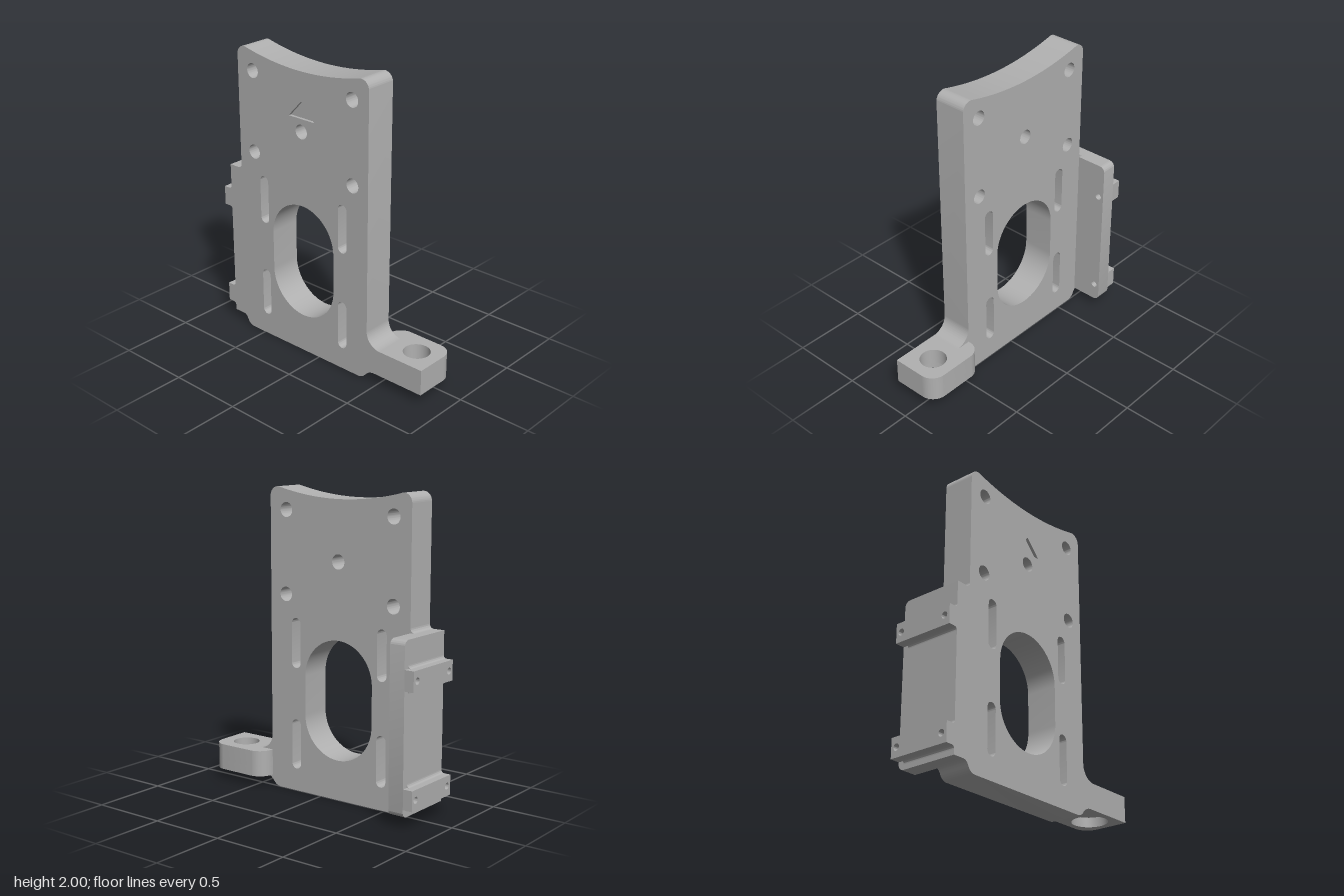
import * as THREE from 'three';
import { toCreasedNormals } from 'three/addons/utils/BufferGeometryUtils.js';

const FRONT = 0.215; // plate front face; its back face is z = 0

const circle = (x, y, r) => new THREE.Path().absarc(x, y, r, 0, Math.PI * 2, true);

// Vertical slot with round ends
function slot(x, y0, y1, r) {
  const p = new THREE.Path();
  p.absarc(x, y1 - r, r, 0, Math.PI, false);
  p.absarc(x, y0 + r, r, Math.PI, Math.PI * 2, false);
  p.closePath();
  return p;
}

function polygon(points, Type = THREE.Shape) {
  return new Type(points.map(([x, y]) => new THREE.Vector2(x, y)));
}

function extrude(shape, depth) {
  return new THREE.ExtrudeGeometry(shape, { depth, bevelEnabled: false, curveSegments: 24 });
}

// Extrusions along each axis; side profiles use (-z, y), top profiles use (x, -z)
const alongZ = (shape, z0, z1) => extrude(shape, z1 - z0).translate(0, 0, z0);
const alongX = (shape, x0, x1) => extrude(shape, x1 - x0).rotateY(Math.PI / 2).translate(x0, 0, 0);
const alongY = (shape, y0, y1) => extrude(shape, y1 - y0).rotateX(-Math.PI / 2).translate(0, y0, 0);

export function createModel() {
  const group = new THREE.Group();
  const metal = new THREE.MeshStandardMaterial({ color: 0xb0b0b0 });
  metal.name = 'grey metal';

  function add(name, geometry) {
    const mesh = new THREE.Mesh(toCreasedNormals(geometry, 0.5), metal);
    mesh.name = name;
    group.add(mesh);
  }

  // Main plate with a concave top and fillets into the flange and the arm
  const plate = new THREE.Shape();
  plate.moveTo(-0.61, 0);
  plate.lineTo(0.34, 0);
  plate.quadraticCurveTo(0.375, 0, 0.4, 0.032);
  plate.quadraticCurveTo(0.43, 0.07, 0.48, 0.07);
  plate.lineTo(0.52, 0.07);
  plate.lineTo(0.52, 0.245);
  plate.absarc(0.515, 0.35, 0.105, -Math.PI / 2, -Math.PI, true);
  plate.lineTo(0.41, 1.94);
  plate.absarc(0.35, 1.94, 0.06, 0, Math.PI * 0.58, false);
  plate.quadraticCurveTo(-0.135, 1.882, -0.608, 1.998);
  plate.absarc(-0.62, 1.94, 0.06, Math.PI * 0.42, Math.PI, false);
  plate.lineTo(-0.68, 1.19);
  plate.absarc(-0.71, 1.19, 0.03, 0, -Math.PI / 2, true);
  plate.lineTo(-0.68, 1.16);
  plate.lineTo(-0.68, 0.07);
  plate.lineTo(-0.71, 0.07);
  plate.quadraticCurveTo(-0.68, 0.07, -0.665, 0.035);
  plate.quadraticCurveTo(-0.645, 0, -0.61, 0);

  const holes = [[-0.55, 1.855], [0.28, 1.855], [-0.553, 1.31], [0.285, 1.31], [-0.135, 1.55]];
  for (const [x, y] of holes) plate.holes.push(circle(x, y, 0.048));
  for (const x of [-0.472, 0.203]) {
    plate.holes.push(slot(x, 0.15, 0.485, 0.036), slot(x, 0.83, 1.16, 0.036));
  }
  plate.holes.push(slot(-0.135, 0.265, 1.05, 0.264));

  // Engraved triangle: a cut in the plate, filled up to the engraving depth
  const triangle = [[-0.24, 1.635], [-0.025, 1.635], [-0.133, 1.748]];
  plate.holes.push(polygon(triangle, THREE.Path));
  add('plate', alongZ(plate, 0, FRONT));
  add('triangleFloor', alongZ(polygon(triangle), 0, FRONT - 0.02));

  // Side flange with rounded rear corners
  const flange = new THREE.Shape();
  flange.moveTo(-FRONT, 0.07);
  flange.lineTo(0.175, 0.07);
  flange.absarc(0.175, 0.11, 0.04, -Math.PI / 2, 0, false);
  flange.absarc(0.175, 1.12, 0.04, 0, Math.PI / 2, false);
  flange.lineTo(-FRONT, 1.16);
  flange.closePath();
  const ribs = [{ y: 0.19, name: 'lowerRib' }, { y: 0.92, name: 'upperRib' }];
  for (const { y } of ribs) {
    for (const u of [-0.175, 0.175]) flange.holes.push(circle(u, y, 0.022));
  }
  add('sideFlange', alongX(flange, -0.785, -0.68));

  // Drilled mounting ribs with small fillets at their roots
  for (const { y, name } of ribs) {
    const rib = polygon([[-FRONT, y - 0.065], [FRONT, y - 0.065], [FRONT, y + 0.065], [-FRONT, y + 0.065]]);
    for (const u of [-0.175, 0.175]) rib.holes.push(circle(u, y, 0.022));
    add(name, alongX(rib, -0.85, -0.785));
    for (const s of [-1, 1]) {
      const edge = y + s * 0.065;
      const fillet = new THREE.Shape();
      fillet.moveTo(-0.785, edge);
      fillet.lineTo(-0.785, edge + s * 0.022);
      fillet.quadraticCurveTo(-0.785, edge, -0.807, edge);
      add(name + 'Fillet', alongZ(fillet, -0.175, FRONT));
    }
  }

  // Side arm with a vertical hole, counterbored from below
  function armProfile(radius) {
    const arm = new THREE.Shape();
    arm.moveTo(0.52, -FRONT);
    arm.lineTo(0.85, -FRONT);
    arm.absarc(0.75, 0.01, 0.1, 0, Math.PI / 2, false);
    arm.absarc(0.51, 0.01, 0.1, Math.PI / 2, Math.PI, false);
    arm.lineTo(0.41, 0);
    arm.lineTo(0.52, 0);
    arm.closePath();
    arm.holes.push(circle(0.685, -0.052, radius));
    return arm;
  }
  add('armCounterbore', alongY(armProfile(0.118), 0.07, 0.135));
  add('armTop', alongY(armProfile(0.088), 0.135, 0.245));

  return group;
}
